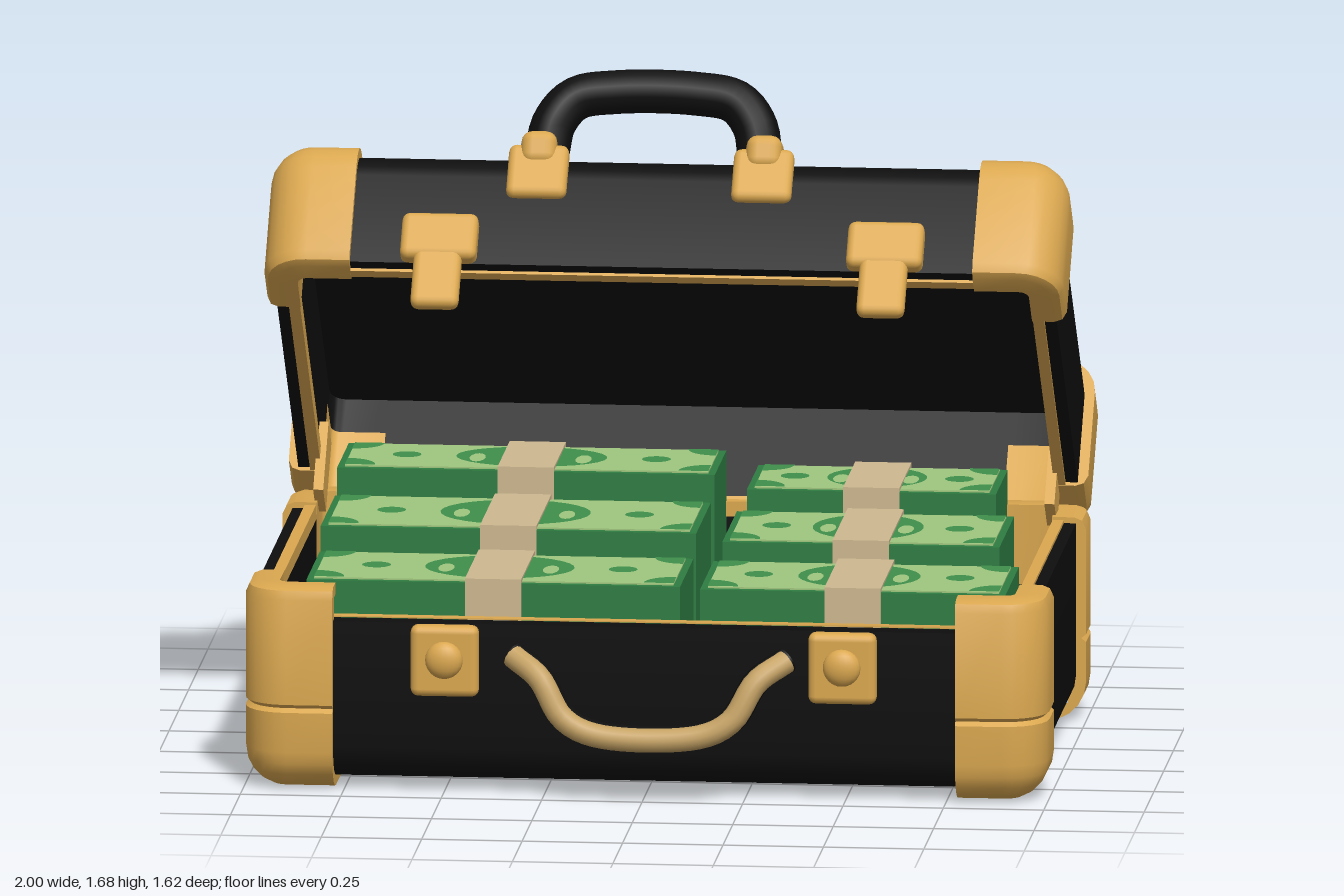
import * as THREE from 'three';
import { toCreasedNormals } from 'three/addons/utils/BufferGeometryUtils.js';
import { RoundedBoxGeometry } from 'three/addons/geometries/RoundedBoxGeometry.js';

const mat = (name, color) => new THREE.MeshStandardMaterial({ name, color });
const black = mat('black leather', 0x0e0e0e);
const gold = mat('gold', 0xdba850);
const tan = mat('tan', 0xc6a365);
const bandTan = mat('paper band', 0xcdb890);
const green = mat('bill green', 0x2f7d42);
const print = mat('print green', 0x3f8f4c);
const pale = mat('pale green', 0x9fc67e);

const SIGNS = [[1, 1], [1, -1], [-1, -1], [-1, 1]];

function add(parent, name, geometry, material, x = 0, y = 0, z = 0) {
  const mesh = new THREE.Mesh(geometry, material);
  mesh.name = name;
  mesh.position.set(x, y, z);
  parent.add(mesh);
  return mesh;
}
const rounded = (w, h, d, r = 0.02) => new RoundedBoxGeometry(w, h, d, 2, r);
const flat = (g) => g.rotateX(-Math.PI / 2);

// Rounded corner outline, inset by d, as distances from the corner along both arms
function cornerPoints(d, R, L) {
  const c = Math.max(R, d), r = Math.max(R - d, 0), far = Math.max(L, d);
  const pts = [[far, d]];
  for (let i = 0; i <= 6; i++) {
    const a = (i / 6) * Math.PI / 2;
    pts.push([c - r * Math.sin(a), c - r * Math.cos(a)]);
  }
  pts.push([d, far]);
  return pts;
}
// Skin a list of equal-length rows of [x, y, z]
function skin(rows) {
  const n = rows[0].length, index = [];
  for (let i = 0; i < rows.length - 1; i++) {
    for (let j = 0; j < n - 1; j++) {
      const a = i * n + j, b = a + 1, c = b + n, d = a + n;
      index.push(a, b, c, a, c, d);
    }
  }
  const g = new THREE.BufferGeometry();
  g.setAttribute('position', new THREE.Float32BufferAttribute(rows.flat(2), 3));
  g.setIndex(index);
  return toCreasedNormals(g, 0.7);
}
// Closed sweep of a [inset, y] profile around a rounded rectangle
function ring(W, D, profile, R = 0.09, adjust = (x, y) => y) {
  return skin(profile.map(([d, y]) => {
    const row = [];
    SIGNS.forEach(([sx, sz], k) => {
      for (const [a, b] of cornerPoints(d, R, 0.18)) {
        let x = -a, z = -b;
        for (let q = 0; q < k; q++) [x, z] = [z, -x];
        x += sx * W; z += sz * D;
        row.push([x, adjust(x, y, z), z]);
      }
    });
    row.push([...row[0]]);
    return row;
  }));
}
// Profile points that round the bottom edge
const roundEdge = (r) => Array.from({ length: 6 }, (_, i) => {
  const a = (i / 5) * Math.PI / 2;
  return [r - r * Math.sin(a), r - r * Math.cos(a)];
});
const trayProfile = (D, H, floor) =>
  [[D, 0], ...roundEdge(0.09), [0, H], [0.05, H], [0.05, floor], [D, floor]];
const rimProfile = (H) =>
  [[0.03, H - 0.02], [0.03, H + 0.008], [0.058, H + 0.008], [0.058, H - 0.03]];

// Metal corner guard: hollow shell with closed arm ends
function guard(h, L, seam) {
  const profile = [[L, 0], ...roundEdge(0.1)];
  if (seam) profile.push([0, 0.2], [0.012, 0.21], [0, 0.22]);
  profile.push([0, h - 0.03], [0.01, h - 0.008], [0.03, h], [0.085, h], [0.085, h - 0.2]);
  return skin(profile.map(([d, y]) => {
    const row = cornerPoints(d, 0.11, L).map(([a, b]) => [-a, y, -b]);
    const d2 = Math.max(d, 0.045), y2 = THREE.MathUtils.clamp(y, 0.045, h - 0.03);
    return [[-L, y2, -d2], ...row, [-d2, y2, -L]];
  }));
}
function guards(parent, W, D, h, L, seam) {
  SIGNS.forEach(([sx, sz], k) => {
    const m = add(parent, 'cornerGuard', guard(h, L, seam), gold, sx * W, 0, sz * D);
    m.rotation.y = k * Math.PI / 2;
  });
}

// Bundle of notes with a paper band
function bundle(parent, x0, x1, z0, z1, bottom, top) {
  const g = new THREE.Group();
  g.name = 'moneyBundle';
  g.position.set((x0 + x1) / 2, top, (z0 + z1) / 2);
  parent.add(g);
  const w = x1 - x0, d = z1 - z0, h = top - bottom;
  add(g, 'notes', new THREE.BoxGeometry(w, h, d), green, 0, -h / 2, 0);
  const pw = w - 0.035, pd = d - 0.035;
  add(g, 'noteFace', new THREE.BoxGeometry(pw, 0.004, pd), pale, 0, 0.002, 0);
  add(g, 'portrait', flat(new THREE.CircleGeometry(1, 28).scale(w * 0.2, d * 0.4, 1)), print, 0, 0.006, 0);
  for (const s of [-1, 1]) {
    add(g, 'seal', flat(new THREE.CircleGeometry(0.036, 16)), print, s * w * 0.33, 0.006, 0);
    add(g, 'portraitMark', flat(new THREE.CircleGeometry(1, 12).scale(0.02, 0.05, 1)), pale, s * w * 0.14, 0.008, 0.03);
  }
  [[-1, -1], [1, -1], [1, 1], [-1, 1]].forEach(([sx, sy], k) => add(g, 'noteCorner',
    flat(new THREE.CircleGeometry(0.075, 8, k * Math.PI / 2, Math.PI / 2)), print,
    sx * pw / 2, 0.006, -sy * pd / 2));
  add(g, 'paperBand', new THREE.BoxGeometry(0.14, h + 0.01, d + 0.012), bandTan, 0, -h / 2 + 0.007, 0);
}
const tube = (pts, r) => new THREE.TubeGeometry(
  new THREE.CatmullRomCurve3(pts.map((p) => new THREE.Vector3(...p))), 40, r, 12);

export function createModel() {
  const model = new THREE.Group();
  model.name = 'briefcase';

  // Lower case; the front wall is cut lower between the guards
  const base = new THREE.Group();
  base.name = 'lowerCase';
  base.position.z = 0.075;
  model.add(base);
  const cut = (x, y, z) => (z > 0.5 && Math.abs(x) < 0.81 ? Math.min(y, y > 0.47 ? 0.39 + (y - 0.46) : 0.41) : y);
  add(base, 'caseShell', ring(0.975, 0.615, trayProfile(0.615, 0.475, 0.28), 0.09, cut), black, 0, 0.025, 0);
  add(base, 'caseRim', ring(0.975, 0.615, rimProfile(0.475), 0.09, cut), gold, 0, 0.025, 0);
  guards(base, 1, 0.637, 0.515, 0.225, true);

  // Latch plates and carrying handle on the front
  for (const s of [-1, 1]) {
    add(model, 'latchPlate', rounded(0.17, 0.18, 0.05), gold, s * 0.495, 0.34, 0.705);
    const knob = add(model, 'latchKnob', new THREE.SphereGeometry(0.047, 20, 12), gold, s * 0.495, 0.345, 0.73);
    knob.scale.z = 0.6;
  }
  const handle = [[-0.34, 0.355, 0.7], [-0.27, 0.31, 0.75], [-0.21, 0.215, 0.775], [-0.13, 0.175, 0.78]];
  const path = [...handle, ...handle.map(([x, y, z]) => [-x, y, z]).reverse()];
  add(model, 'frontHandleGrip', tube(path, 0.033), black, 0.015, 0, -0.012);
  add(model, 'frontHandleFace', tube(path, 0.03), tan, 0.015, 0, 0.008);

  // Money in three rising rows
  [[0.255, 0.6, 0.515, 0.51], [-0.14, 0.235, 0.575, 0.555], [-0.49, -0.19, 0.635, 0.6]].forEach(([z0, z1, yl, yr], i) => {
    bundle(model, -0.85, 0.08 + 0.005 * i, z0, z1, 0.3, yl);
    bundle(model, 0.13 + 0.02 * i, 0.89 - 0.05 * i, z0, z1, 0.3, yr);
  });

  // Lid: local z runs from hinge to opening edge, local y is its thickness
  const lid = new THREE.Group();
  lid.name = 'lid';
  lid.rotation.x = -THREE.MathUtils.degToRad(44);
  model.add(lid);
  const shell = new THREE.Group();
  shell.name = 'lidShell';
  shell.rotation.z = Math.PI;
  shell.position.set(0, 1.085, 0.475);
  lid.add(shell);
  add(shell, 'lidTray', ring(0.97, 0.58, trayProfile(0.58, 0.345, 0.05)), black, 0, 0.02, 0);
  add(shell, 'lidRim', ring(0.97, 0.58, rimProfile(0.345)), gold, 0, 0.02, 0);
  guards(shell, 0.995, 0.6, 0.375, 0.22, false);

  // Trim strips and abstract inlay on the lid panel
  for (const s of [-1, 1]) {
    add(lid, 'trimStrip', new THREE.BoxGeometry(0.025, 0.008, 0.8), tan, s * 0.78, 1.067, 0.48);
  }
  for (const [z, r] of [[0.16, 0.06], [0.67, 0.09]]) {
    for (let i = 0; i < 9; i++) {
      const x = -0.64 + i * 0.16;
      add(lid, 'inlayDiamond', flat(new THREE.RingGeometry(r * 0.55, r, 4).scale(0.8, 1, 1)), tan, x, 1.069, z);
      add(lid, 'inlayStud', flat(new THREE.CircleGeometry(r * 0.3, 12)), tan, x, 1.069, z);
    }
  }

  // Lid hasps, hinge arms and handle mounts
  for (const s of [-1, 1]) {
    add(lid, 'haspTop', rounded(0.19, 0.13, 0.06), gold, s * 0.555, 0.785, 1.065);
    add(lid, 'haspTongue', rounded(0.12, 0.17, 0.045), gold, s * 0.555, 0.665, 1.07);
    add(lid, 'hingeArm', new THREE.BoxGeometry(0.025, 0.2, 0.1), gold, s * 0.91, 0.72, 0.1);
    const x = -0.045 + s * 0.28;
    add(lid, 'handleMount', rounded(0.15, 0.15, 0.05), gold, x, 0.99, 1.055);
    const lug = add(model, 'handleLug', rounded(0.09, 0.09, 0.11, 0.03), gold, x, 1.49, 0.015);
    lug.rotation.x = -0.4;
  }

  // Padded lid handle
  const arch = [[-0.265, 1.48, -0.01], [-0.25, 1.55, -0.04], [-0.2, 1.605, -0.07], [-0.1, 1.622, -0.08]];
  add(model, 'lidHandle', tube([...arch, ...arch.map(([x, y, z]) => [-x, y, z]).reverse()], 0.056), black, -0.045, 0, 0);

  return model;
}
